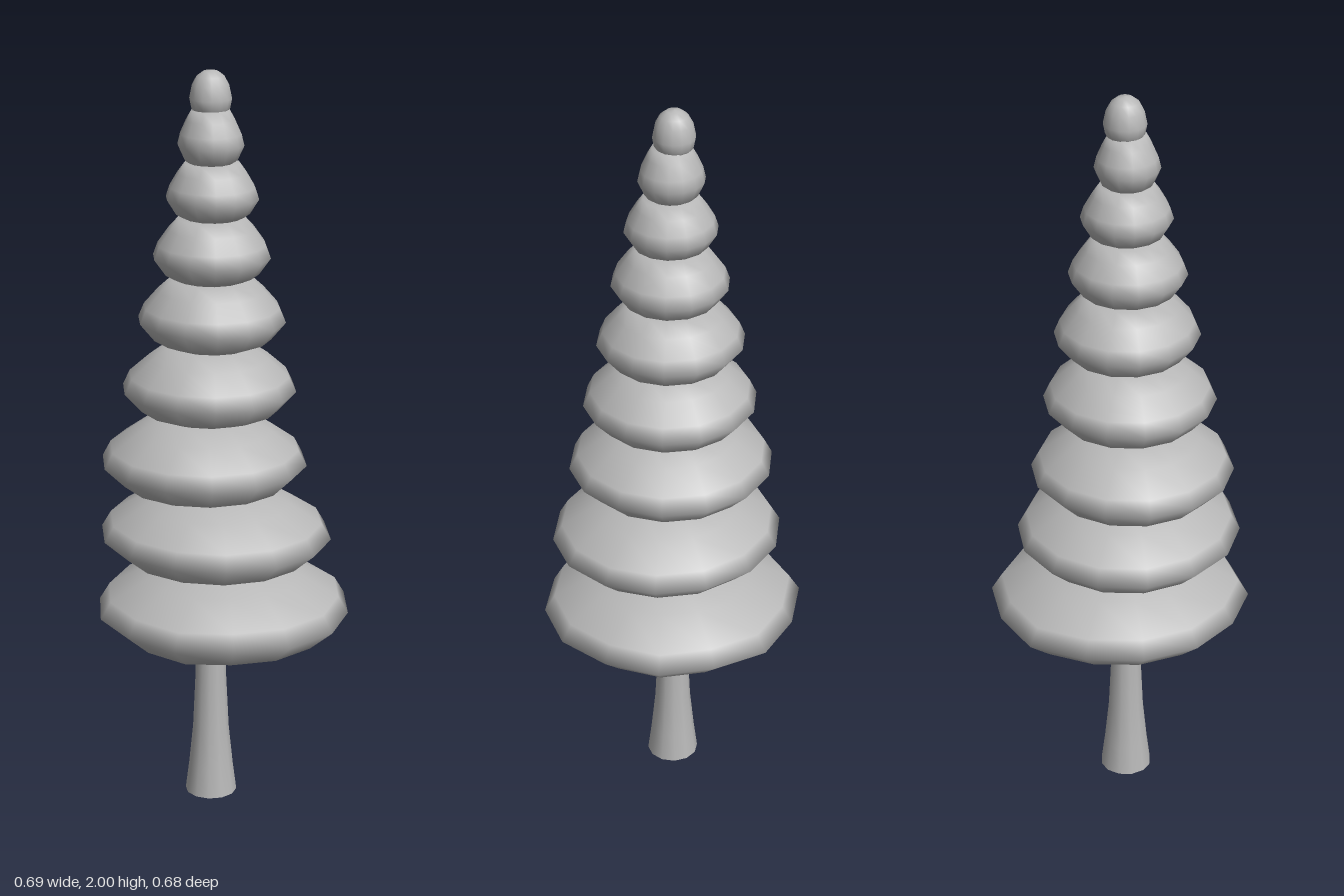
import * as THREE from 'three';

const SIDES = 14;

// Foliage tiers: centre x, centre z, radius in x, radius in z, bottom y, top y, top width fraction
const TIERS = [
  [-0.001, 0.001, 0.344, 0.344, 0.457, 0.685, 0.36],
  [-0.012, 0.026, 0.313, 0.297, 0.68, 0.892, 0.40],
  [-0.037, 0.043, 0.275, 0.267, 0.885, 1.092, 0.43],
  [-0.027, 0.033, 0.231, 0.226, 1.09, 1.285, 0.48],
  [-0.024, 0.025, 0.196, 0.189, 1.28, 1.462, 0.55],
  [-0.023, 0.026, 0.154, 0.153, 1.455, 1.622, 0.57],
  [-0.023, 0.023, 0.122, 0.118, 1.615, 1.765, 0.59],
  [-0.026, 0.025, 0.087, 0.084, 1.755, 1.9, 0.58],
];

// Slight irregularity of the widest tier, starting at +x and turning towards +z
const WOBBLE = [1, 0.99, 0.965, 1.01, 0.99, 1, 0.995, 1.005, 1.055, 1.015, 1.025, 0.97, 0.99, 0.975];

const points = (list) => list.map(([r, y]) => new THREE.Vector2(r, y));

// Cushion-shaped tier with its widest ring below the middle
function tierGeometry(rx, rz, height, top, wobble) {
  const profile = points([
    [0, 0], [0.52, 0], [0.8, 0.12], [1, 0.38], [0.92, 0.58],
    [0.45 + top * 0.5, 0.82], [top, 0.99], [0, 1.06],
  ]);
  const geometry = new THREE.LatheGeometry(profile, SIDES, Math.PI / 2);
  if (wobble) {
    const pos = geometry.attributes.position;
    for (let i = 0; i < pos.count; i++) {
      const x = pos.getX(i), z = pos.getZ(i);
      const turn = Math.round((Math.atan2(z, x) / (Math.PI * 2)) * SIDES);
      const k = WOBBLE[(turn + SIDES) % SIDES];
      pos.setXYZ(i, x * k, pos.getY(i), z * k);
    }
  }
  return geometry.scale(rx, height, rz);
}

export function createModel() {
  const group = new THREE.Group();
  const grey = new THREE.MeshStandardMaterial({ color: 0xb8b8b8 });
  grey.name = 'plain grey';

  const add = (name, geometry, x, y, z) => {
    const mesh = new THREE.Mesh(geometry, grey);
    mesh.name = name;
    mesh.position.set(x, y, z);
    group.add(mesh);
    return mesh;
  };

  // Flared trunk, closed underneath
  const trunk = points([[0.07, 0], [0.06, 0.08], [0.049, 0.19], [0.042, 0.34], [0.038, 0.5]]);
  add('trunk', new THREE.LatheGeometry(trunk, 12), -0.03, 0, 0.024);
  add('trunkBase', new THREE.CircleGeometry(0.07, 12).rotateX(Math.PI / 2), -0.03, 0, 0.024);

  // Stacked foliage
  TIERS.forEach(([x, z, rx, rz, y0, y1, top], i) => {
    add(`foliageTier${i + 1}`, tierGeometry(rx, rz, y1 - y0, top, i === 0), x, y0, z);
  });

  // Egg-shaped tip
  const tip = points([
    [0, 0], [0.038, 0], [0.05, 0.015], [0.055, 0.04], [0.048, 0.074],
    [0.036, 0.096], [0.019, 0.109], [0, 0.112],
  ]);
  add('treeTip', new THREE.LatheGeometry(tip, SIDES, Math.PI / 2), -0.03, 1.888, 0.02);

  return group;
}
